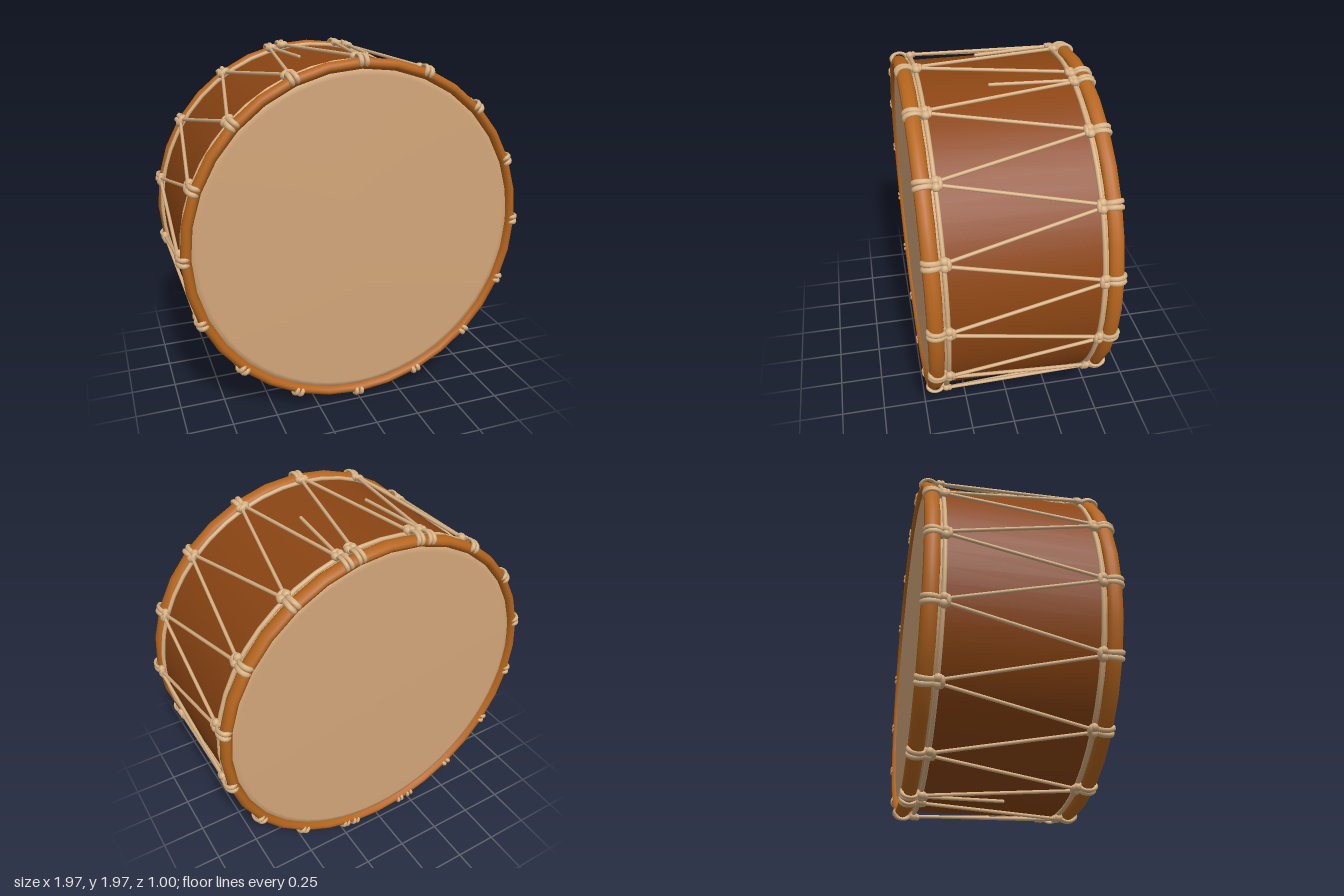
import * as THREE from 'three';

const mat = (name, color, side = THREE.FrontSide) => {
  const m = new THREE.MeshStandardMaterial({ color, side });
  m.name = name;
  return m;
};

const DEG = Math.PI / 180;
const STEP = 22.5;

export function createModel() {
  const shellMat = mat('dark wood', 0x8b4513);
  const hoopMat = mat('light wood', 0xb5651d);
  const skinMat = mat('drum skin', 0xd2a679, THREE.DoubleSide);
  const ropeMat = mat('rope', 0xd6b083);

  const drum = new THREE.Group();
  drum.name = 'drum';
  const add = (parent, name, geometry, material) => {
    const mesh = new THREE.Mesh(geometry, material);
    mesh.name = name;
    parent.add(mesh);
    return mesh;
  };

  // Point on the drum, angle in degrees clockwise from the top
  const onDrum = (deg, r, z) =>
    new THREE.Vector3(Math.sin(deg * DEG) * r, Math.cos(deg * DEG) * r, z);

  // Wooden shell
  const shell = new THREE.CylinderGeometry(0.937, 0.937, 0.84, 64, 1, true).rotateX(Math.PI / 2);
  add(drum, 'shell', shell, shellMat);

  // Skins, hoops and the rope rings behind the hoops
  const skinProfile = [[0.94, 0.385], [0.935, 0.43], [0.915, 0.462], [0.88, 0.473], [0, 0.476]]
    .map(([r, h]) => new THREE.Vector2(r, h));
  const skin = new THREE.LatheGeometry(skinProfile, 64).rotateX(Math.PI / 2);
  const hoop = new THREE.TorusGeometry(0.937, 0.029, 12, 32).scale(1, 1, 1.42);
  const ring = new THREE.TorusGeometry(0.945, 0.012, 8, 48);
  for (const [end, s] of [['front', 1], ['back', -1]]) {
    add(drum, end + 'Skin', skin, skinMat).rotation.y = s > 0 ? 0 : Math.PI;
    add(drum, end + 'Hoop', hoop, hoopMat).position.z = s * 0.452;
    add(drum, end + 'RopeRing', ring, ropeMat).position.z = s * 0.39;
  }

  // One tie: two strands looped round the hoop and a knot behind it
  const loop = new THREE.TorusGeometry(1, 0.28, 8, 18)
    .rotateY(Math.PI / 2)
    .scale(0.05, 0.031, 0.043);
  const knot = new THREE.SphereGeometry(1, 10, 8);
  const makeTie = (deg, front, width = 1) => {
    const pivot = new THREE.Group();
    pivot.name = front ? 'frontTie' : 'backTie';
    pivot.rotation.z = -deg * DEG;
    const tie = new THREE.Group();
    tie.rotation.y = front ? 0 : Math.PI;
    tie.scale.x = width;
    for (const s of [-1, 1]) {
      const strand = add(tie, 'strand', loop, ropeMat);
      strand.position.set(s * 0.013, 0.948, 0.447);
      strand.rotation.y = s * 0.06;
      const lobe = add(tie, 'knotLobe', knot, ropeMat);
      lobe.position.set(s * 0.016, 0.962, 0.388);
      lobe.scale.set(0.024, 0.021, 0.024);
    }
    const band = add(tie, 'knotBand', knot, ropeMat);
    band.position.set(0, 0.966, 0.368);
    band.scale.set(0.033, 0.018, 0.014);
    pivot.add(tie);
    drum.add(pivot);
  };

  // Lacing rope pulled tight between two points
  const makeRope = (name, a, b) =>
    add(drum, name, new THREE.TubeGeometry(new THREE.LineCurve3(a, b), 1, 0.0095, 8), ropeMat);

  // Back ties beside the top and bottom are doubled
  const nearEnds = k => k % 8 === 0 || k % 8 === 7;
  const backAngles = k => {
    const mid = (k + 0.5) * STEP;
    if (!nearEnds(k)) return [mid, mid];
    return k % 8 === 0 ? [mid - 1, mid + 3.3] : [mid - 3.3, mid + 1];
  };

  for (let k = 0; k < 16; k++) {
    makeTie(k * STEP, true);
    const [a, b] = backAngles(k);
    makeTie(a, false, nearEnds(k) ? 0.85 : 1);
    if (a !== b) makeTie(b, false, 0.85);
    // Zigzag from each front tie to the back ones and on to the next
    makeRope('lacing', onDrum(k * STEP + 0.6, 0.966, 0.375), onDrum(a - 0.5, 0.962, -0.385));
    makeRope('lacing', onDrum(b + 0.5, 0.962, -0.385), onDrum((k + 1) * STEP - 0.6, 0.966, 0.375));
    // Loose rope ends at the doubled ties
    if (a !== b) {
      const outer = k % 8 === 0 ? b : a;
      const inner = k % 8 === 0 ? b - 2.4 : a + 2.4;
      const tip = onDrum(inner, 0.95, 0.04);
      makeRope('looseEnd', onDrum(outer, 0.965, -0.385), tip);
      const cap = add(drum, 'looseEndTip', knot, ropeMat);
      cap.position.copy(tip);
      cap.scale.setScalar(0.0095);
    }
  }

  drum.position.y = 1;
  const model = new THREE.Group();
  model.name = 'ropeTensionedDrum';
  model.add(drum);
  return model;
}
